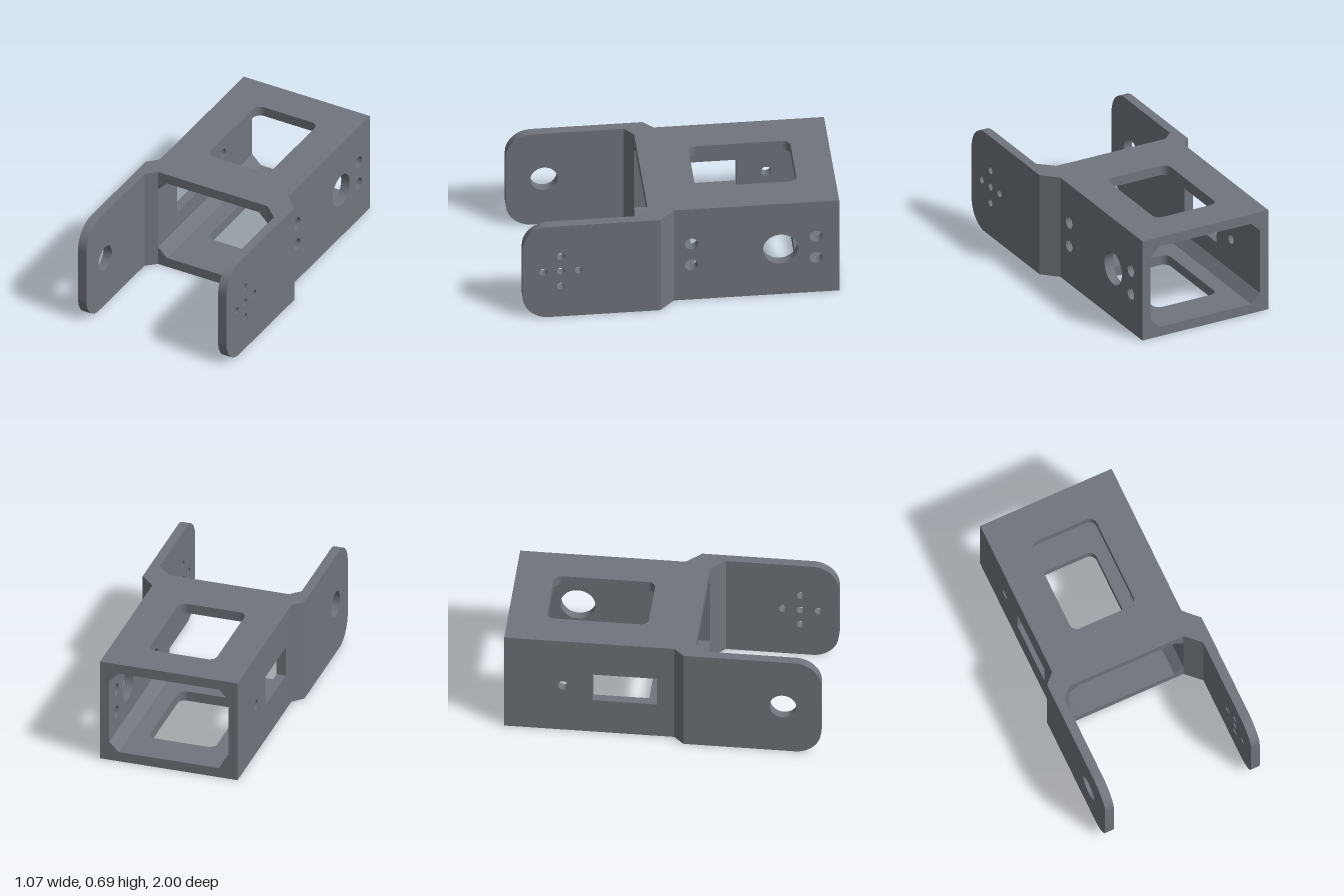
import * as THREE from 'three';
import { toCreasedNormals } from 'three/addons/utils/BufferGeometryUtils.js';

const H = 0.69, MID = 0.345, WALL = 0.06;
const BACK = -1, TUBE_FRONT = 0.2, TIP = 1;
const IN_L = -0.41, IN_R = 0.375; // inner faces of the tube's side walls

const polygon = (pts) => new THREE.Shape(pts.map(([a, b]) => new THREE.Vector2(a, b)));
const rect = (a0, b0, a1, b1) => polygon([[a0, b0], [a1, b0], [a1, b1], [a0, b1]]);

// Rectangle with its corners rounded; square0 keeps the two corners at a0 sharp
function roundRect(a0, b0, a1, b1, r, square0 = false) {
  const s = new THREE.Shape();
  const r0 = square0 ? 0 : r;
  s.moveTo(a0 + r0, b0);
  s.lineTo(a1 - r, b0);
  s.absarc(a1 - r, b0 + r, r, -Math.PI / 2, 0, false);
  s.lineTo(a1, b1 - r);
  s.absarc(a1 - r, b1 - r, r, 0, Math.PI / 2, false);
  s.lineTo(a0 + r0, b1);
  if (r0) s.absarc(a0 + r, b1 - r, r, Math.PI / 2, Math.PI, false);
  s.lineTo(a0, b0 + r0);
  if (r0) s.absarc(a0 + r, b0 + r, r, Math.PI, Math.PI * 1.5, false);
  return s;
}

function drill(shape, circles) {
  for (const [a, b, r] of circles) {
    shape.holes.push(new THREE.Path().absarc(a, b, r, 0, Math.PI * 2, true));
  }
  return shape;
}

const extrude = (shape, depth) => toCreasedNormals(
  new THREE.ExtrudeGeometry(shape, { depth, bevelEnabled: false, curveSegments: 20 }), 0.6);

// Shape drawn in (z, y), thickened along x up to xMax
const sidePlate = (shape, xMax) =>
  extrude(shape, WALL).rotateY(-Math.PI / 2).translate(xMax, 0, 0);

// Shape drawn in (x, z), thickened along y up to yMax
const flatPlate = (shape, yMax, depth) =>
  extrude(shape, depth).rotateX(Math.PI / 2).translate(0, yMax, 0);

export function createModel() {
  const group = new THREE.Group();
  const metal = new THREE.MeshStandardMaterial({ color: 0x70757d });
  metal.name = 'slate grey';
  const add = (name, geometry) => {
    const mesh = new THREE.Mesh(geometry, metal);
    mesh.name = name;
    group.add(mesh);
  };

  // Top and bottom plates with rounded windows
  for (const [name, yMax] of [['topPlate', H], ['bottomPlate', 0.065]]) {
    const plate = rect(IN_L, BACK, IN_R, TUBE_FRONT);
    plate.holes.push(roundRect(-0.24, -0.76, 0.2, -0.12, 0.05));
    add(name, flatPlate(plate, yMax, 0.065));
  }

  // Sloped fillets along the four inner corners of the tube
  for (const [x, sx] of [[IN_L, 1], [IN_R, -1]]) {
    for (const [y, sy] of [[0.065, 1], [H - 0.065, -1]]) {
      const wedge = polygon([[x, y], [x + sx * 0.063, y], [x, y + sy * 0.063]]);
      add('cornerFillet', extrude(wedge, TUBE_FRONT - BACK).translate(0, 0, BACK));
    }
  }

  // Left (+x) tube wall: one large bore and two pairs of screw holes
  const leftWall = drill(rect(BACK, 0, 0.04, H), [
    [-0.63, MID, 0.11],
    [-0.07, MID + 0.08, 0.041], [-0.07, MID - 0.08, 0.041],
    [-0.855, MID + 0.08, 0.041], [-0.855, MID - 0.08, 0.041],
  ]);
  add('leftWall', sidePlate(leftWall, IN_R + WALL));

  // Right (-x) tube wall: rectangular window and a small hole
  const rightWall = drill(rect(BACK, 0, 0.07, H), [[-0.63, MID, 0.033]]);
  rightWall.holes.push(rect(-0.445, 0.245, -0.04, 0.446));
  add('rightWall', sidePlate(rightWall, IN_L));

  // Angled shoulders that step the walls out to the arms
  add('leftShoulder', flatPlate(polygon([
    [0.375, 0.04], [0.435, 0.04], [0.53, 0.135], [0.53, 0.29], [0.47, 0.29], [0.375, 0.2],
  ]), H, H));
  add('rightShoulder', flatPlate(polygon([
    [-0.41, 0.07], [-0.47, 0.07], [-0.535, 0.135], [-0.535, 0.26], [-0.475, 0.26], [-0.41, 0.2],
  ]), H, H));

  // Fork arms with rounded tips: screw pattern on the left, pivot bore on the right
  const screw = 0.025, ring = 0.112, pivot = 0.76;
  add('leftArm', sidePlate(drill(roundRect(0.29, 0, TIP, H, 0.165, true), [
    [pivot, MID, screw],
    [pivot + ring, MID, screw], [pivot - ring, MID, screw],
    [pivot, MID + ring, screw], [pivot, MID - ring, screw],
  ]), 0.53));
  add('rightArm', sidePlate(drill(roundRect(0.26, 0, TIP, H, 0.165, true), [
    [pivot, MID, 0.085],
  ]), -0.475));

  return group;
}
